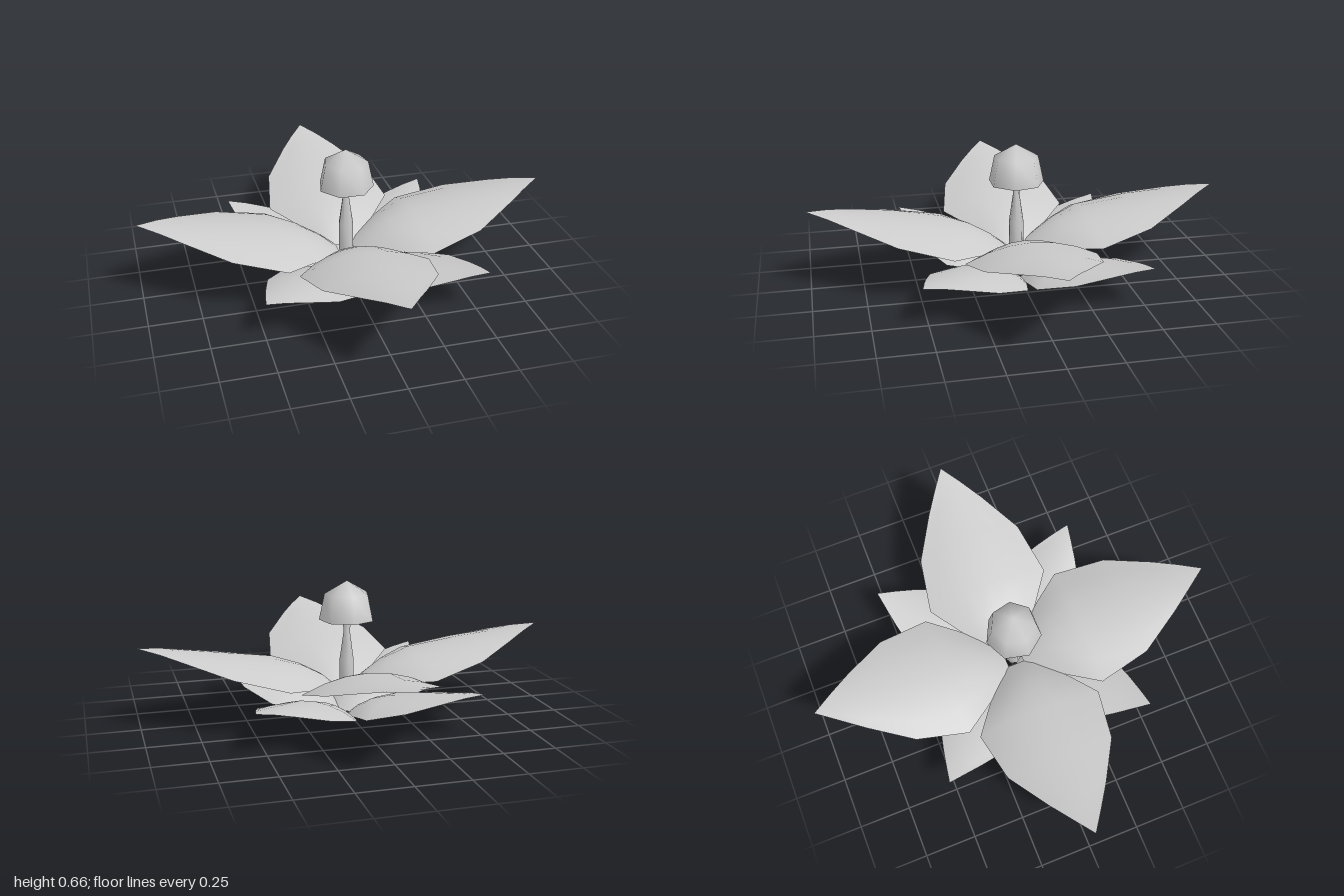
import * as THREE from 'three';
import { mergeVertices } from 'three/addons/utils/BufferGeometryUtils.js';

const material = new THREE.MeshStandardMaterial({ color: 0xcccccc, side: THREE.DoubleSide });

// Petal rows from base to tip: [distance out, half width, ridge height, edge height]
const PETAL_ROWS = [
  [0.04, 0.07, 0.0, 0.0],
  [0.12, 0.135, 0.07, 0.03],
  [0.22, 0.215, 0.125, 0.06],
  [0.35, 0.31, 0.165, 0.085],
  [0.6, 0.265, 0.2, 0.15],
  [0.8, 0.142, 0.228, 0.212],
  [0.9, 0.073, 0.243, 0.241],
  [1.0, 0.002, 0.262, 0.262],
];

// One arched petal pointing along +z, bent from a flat grid
function petalGeometry() {
  const columns = 6;
  const geometry = new THREE.PlaneGeometry(2, 1, columns, PETAL_ROWS.length - 1);
  const position = geometry.attributes.position;
  for (let i = 0; i < position.count; i++) {
    const u = position.getX(i);
    const [out, halfWidth, ridge, edge] = PETAL_ROWS[Math.floor(i / (columns + 1))];
    const y = ridge - (ridge - edge) * Math.pow(Math.abs(u), 2);
    position.setXYZ(i, u * halfWidth, y, out);
  }
  geometry.computeVertexNormals();
  return geometry;
}

// Ring of four petals
function petalRing(name, geometry, startAngle) {
  const ring = new THREE.Group();
  ring.name = name;
  for (let i = 0; i < 4; i++) {
    const petal = new THREE.Mesh(geometry, material);
    petal.name = name + 'Petal' + (i + 1);
    petal.rotation.y = startAngle + (i * Math.PI) / 2;
    ring.add(petal);
  }
  return ring;
}

// Seven-sided turned part from [radius, height] points, smooth over seam and apex
function turned(name, profile) {
  const points = profile.map(([r, y]) => new THREE.Vector2(r, y));
  const lathe = new THREE.LatheGeometry(points, 7, Math.PI);
  lathe.deleteAttribute('uv');
  lathe.deleteAttribute('normal');
  const geometry = mergeVertices(lathe, 1e-4);
  geometry.computeVertexNormals();
  const mesh = new THREE.Mesh(geometry, material);
  mesh.name = name;
  return mesh;
}

export function createModel() {
  const flower = new THREE.Group();
  flower.name = 'flower';
  const petal = petalGeometry();

  // Large upper petals along the axes
  const upper = petalRing('upper', petal, 0);
  upper.position.y = 0.13;

  // Smaller lower petals on the diagonals
  const lower = petalRing('lower', petal, Math.PI / 4);
  lower.scale.set(0.742, 0.77, 0.742);
  lower.position.set(0.025, 0, 0);

  // Stem and domed cap in the middle
  const stem = turned('stem', [[0.036, 0.13], [0.036, 0.27], [0.016, 0.41], [0.021, 0.48]]);
  const cap = turned('cap', [[0.135, 0.47], [0.108, 0.597], [0, 0.66]]);
  const underside = turned('capUnderside', [[0, 0.47], [0.135, 0.47]]);

  flower.add(upper, lower, stem, cap, underside);
  return flower;
}
